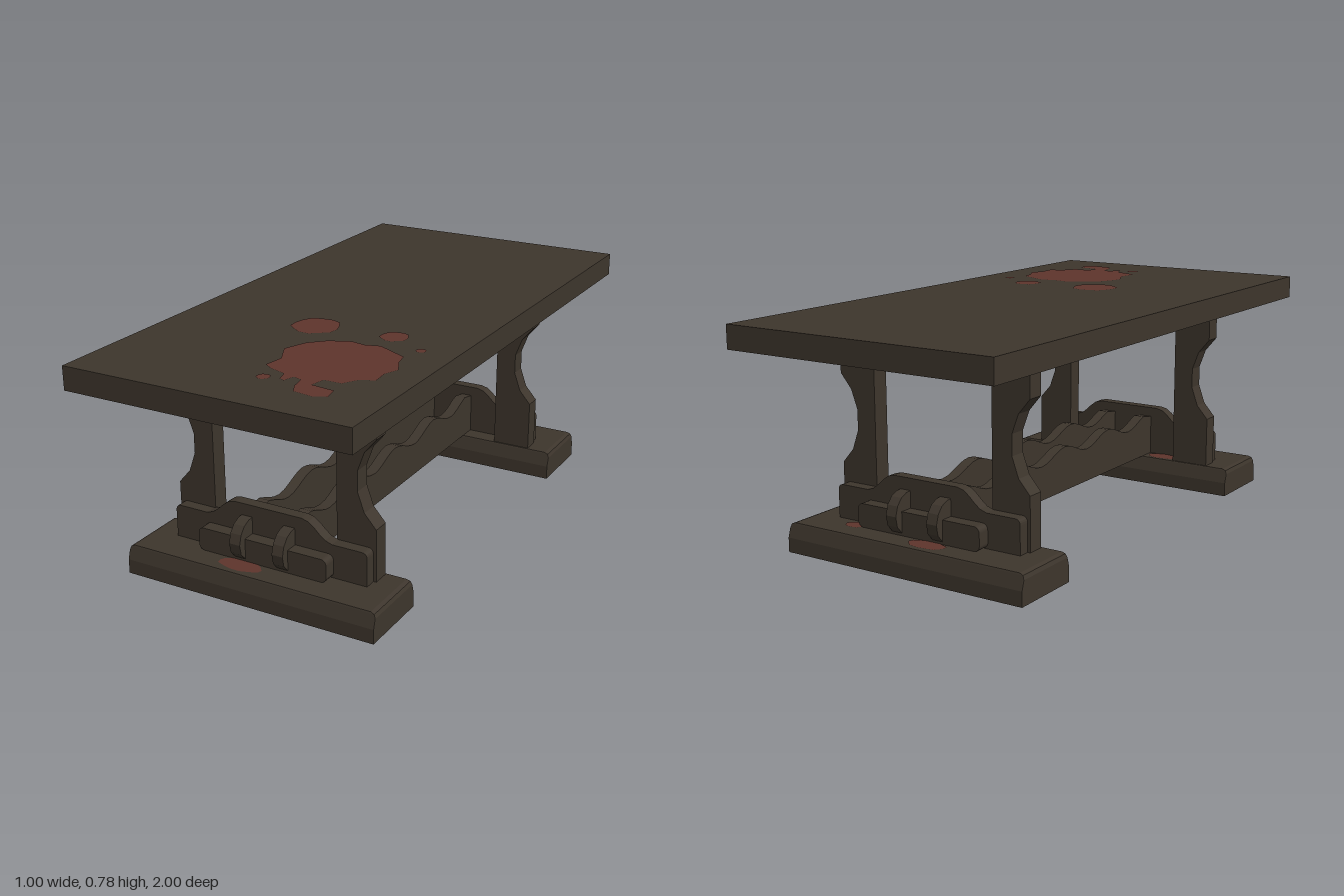
import * as THREE from 'three';
import { ConvexGeometry } from 'three/addons/geometries/ConvexGeometry.js';

const wood = new THREE.MeshStandardMaterial({ color: 0x3d352c });
wood.name = 'dark wood';
const red = new THREE.MeshStandardMaterial({ color: 0x5e342c });
red.name = 'dull red stain';

const toShape = (pts) => new THREE.Shape(pts.map(([x, y]) => new THREE.Vector2(x, y)));

function add(parent, name, geometry, material = wood) {
  const mesh = new THREE.Mesh(geometry, material);
  mesh.name = name;
  parent.add(mesh);
  return mesh;
}

// Outline in x,y pulled from z0 to z1
function slabZ(shape, z0, z1) {
  return new THREE.ExtrudeGeometry(shape, { depth: z1 - z0, bevelEnabled: false, curveSegments: 5 })
    .translate(0, 0, z0);
}

// Outline in z,y pulled from x0 to x1
function slabX(shape, x0, x1) {
  return new THREE.ExtrudeGeometry(shape, { depth: x1 - x0, bevelEnabled: false })
    .rotateY(-Math.PI / 2).translate(x1, 0, 0);
}

// Flat patch in x,z lying at height y and facing up
function patch(parent, name, pts, y) {
  add(parent, name, new THREE.ShapeGeometry(toShape(pts.map(([x, z]) => [x, -z])))
    .rotateX(-Math.PI / 2).translate(0, y, 0), red);
}

// Slightly uneven round outline
function spot(cx, cz, rx, rz = rx, n = 14) {
  return Array.from({ length: n }, (_, i) => {
    const a = (i / n) * Math.PI * 2, k = 1 + 0.05 * Math.sin(i * 2.3);
    return [cx + Math.cos(a) * rx * k, cz + Math.sin(a) * rz * k];
  });
}

// One trestle: foot, two legs, humped panel and locking bar
function makeTrestle() {
  const g = new THREE.Group();

  // Foot with sloping upper sides and softened ends
  const corners = [];
  for (const sx of [-1, 1]) for (const sz of [-1, 1])
    for (const [x, y, z] of [[0.46, 0, 0.13], [0.46, 0.05, 0.13], [0.46, 0.082, 0.12],
      [0.455, 0.095, 0.117], [0.442, 0.1, 0.115]])
      corners.push(new THREE.Vector3(sx * x, y, 0.68 + sz * z));
  add(g, 'foot', new ConvexGeometry(corners));

  // Legs with a scooped outer edge, stained at the top inner corner
  for (const s of [-1, 1]) {
    const leg = [[0.23, 0.1], [0.37, 0.1], [0.37, 0.28], [0.328, 0.328], [0.304, 0.395],
      [0.304, 0.465], [0.328, 0.53], [0.37, 0.58], [0.37, 0.7], [0.23, 0.7]];
    add(g, 'leg', slabZ(toShape(leg.map(([x, y]) => [s * x, y])), 0.57, 0.63));
    const stain = [[0.228, 0.635], [0.275, 0.635], [0.3, 0.648], [0.315, 0.67], [0.322, 0.7], [0.228, 0.7]];
    add(g, 'legStain', slabZ(toShape(stain.map(([x, y]) => [s * x, y])), 0.568, 0.632), red);
  }

  // Humped end panel
  const panel = new THREE.Shape();
  panel.moveTo(-0.36, 0.1);
  panel.lineTo(0.36, 0.1);
  panel.lineTo(0.36, 0.195);
  panel.quadraticCurveTo(0.36, 0.215, 0.34, 0.215);
  panel.lineTo(0.235, 0.215);
  panel.bezierCurveTo(0.19, 0.22, 0.17, 0.28, 0.125, 0.28);
  panel.lineTo(-0.125, 0.28);
  panel.bezierCurveTo(-0.17, 0.28, -0.19, 0.22, -0.235, 0.215);
  panel.lineTo(-0.34, 0.215);
  panel.quadraticCurveTo(-0.36, 0.215, -0.36, 0.195);
  add(g, 'endPanel', slabZ(panel, 0.63, 0.67));

  // Locking bar through the stretcher ends
  const bar = new THREE.Shape();
  const r = 0.02, w = 0.24, y0 = 0.101, y1 = 0.181;
  bar.absarc(w - r, y0 + r, r, -Math.PI / 2, 0);
  bar.absarc(w - r, y1 - r, r, 0, Math.PI / 2);
  bar.absarc(-w + r, y1 - r, r, Math.PI / 2, Math.PI);
  bar.absarc(-w + r, y0 + r, r, Math.PI, Math.PI * 1.5);
  add(g, 'lockingBar', slabZ(bar, 0.67, 0.715));
  return g;
}

export function createModel() {
  const model = new THREE.Group();
  model.name = 'trestleTable';

  add(model, 'tableTop', new THREE.BoxGeometry(1, 0.08, 2).translate(0, 0.74, 0));

  const front = makeTrestle();
  front.name = 'frontTrestle';
  const back = makeTrestle();
  back.name = 'backTrestle';
  back.rotation.y = Math.PI;
  model.add(front, back);

  // Twin stretchers: wavy top edge, rounded ends poking through the panels
  const tip = [[0.66, 0.24], [0.69, 0.237], [0.715, 0.226], [0.735, 0.203], [0.745, 0.17],
    [0.738, 0.135], [0.715, 0.11], [0.67, 0.11], [0.66, 0.1]];
  const wave = [];
  for (let i = -19; i <= 19; i++) {
    const z = i * 0.03;
    wave.push([z, 0.24 + 0.02 * Math.cos((z / 0.3) * Math.PI * 2)]);
  }
  const outline = [...wave, ...tip, ...tip.map(([z, y]) => [-z, y]).reverse()];
  for (const x of [-0.08, 0.08])
    add(model, 'stretcher', slabX(toShape(outline), x - 0.02, x + 0.02));

  // Stains on the table top
  const splash = [[0, 0.55], [0.03, 0.47], [0.08, 0.42], [0.15, 0.39], [0.2, 0.4], [0.25, 0.385],
    [0.3, 0.41], [0.36, 0.44], [0.37, 0.49], [0.4, 0.55], [0.38, 0.6], [0.385, 0.66], [0.34, 0.68],
    [0.31, 0.73], [0.25, 0.73], [0.24, 0.78], [0.32, 0.79], [0.33, 0.84], [0.29, 0.86], [0.22, 0.85],
    [0.2, 0.81], [0.19, 0.76], [0.16, 0.75], [0.15, 0.79], [0.13, 0.78], [0.12, 0.74], [0.06, 0.72],
    [0.03, 0.7], [0.04, 0.63]];
  patch(model, 'topSplash', splash, 0.782);
  for (const [x, z, rad] of [[-0.03, 0.31, 0.08], [0.245, 0.285, 0.047], [0.38, 0.365, 0.017], [0.08, 0.79, 0.022]])
    patch(model, 'topSpot', spot(x, z, rad), 0.782);

  // Stains on the feet
  for (const [x, z, rx, rz] of [[-0.06, 0.745, 0.08, 0.035], [-0.17, 0.6, 0.06, 0.03],
    [-0.06, -0.745, 0.07, 0.035], [0.26, -0.71, 0.035, 0.025]])
    patch(model, 'footStain', spot(x, z, rx, rz), 0.102);

  return model;
}
